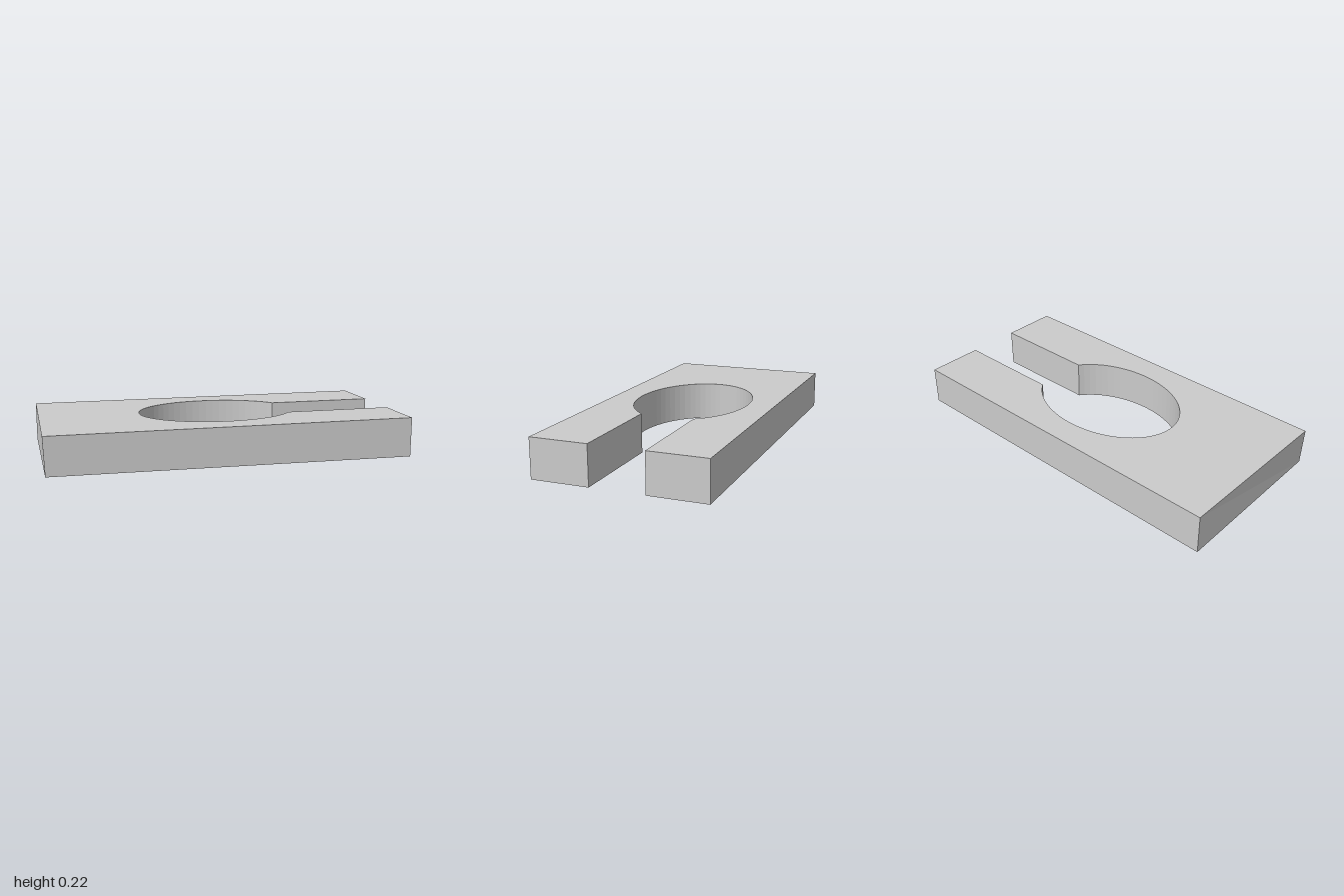
import * as THREE from 'three';

export function createModel() {
  const group = new THREE.Group();
  const halfX = 1, halfZ = 0.473, height = 0.22;
  const rx = 0.443, rz = 0.323, slot = 0.151;

  // Plan outline: rectangle with an oval opening that joins a slot at the +x end
  const a = Math.asin(slot / rz);
  const shape = new THREE.Shape();
  shape.moveTo(-halfX, -halfZ);
  shape.lineTo(halfX, -halfZ);
  shape.lineTo(halfX, -slot);
  const steps = 56;
  for (let i = 0; i <= steps; i++) {
    const t = -a - (i / steps) * 2 * (Math.PI - a);
    shape.lineTo(rx * Math.cos(t), rz * Math.sin(t));
  }
  shape.lineTo(halfX, slot);
  shape.lineTo(halfX, halfZ);
  shape.lineTo(-halfX, halfZ);
  shape.closePath();

  const geometry = new THREE.ExtrudeGeometry(shape, { depth: height, bevelEnabled: false });
  geometry.rotateX(-Math.PI / 2);

  // The lower front corner at the closed end is very slightly pulled in
  const p = geometry.attributes.position;
  for (let i = 0; i < p.count; i++) {
    if (p.getX(i) < -0.99 && p.getY(i) < 0.01 && p.getZ(i) > 0.4) p.setXYZ(i, -0.992, 0.01, halfZ);
  }
  geometry.computeVertexNormals();

  const plate = new THREE.Mesh(
    geometry,
    new THREE.MeshStandardMaterial({ color: 0xcccccc, flatShading: true })
  );
  plate.name = 'slottedPlate';
  group.add(plate);
  return group;
}
